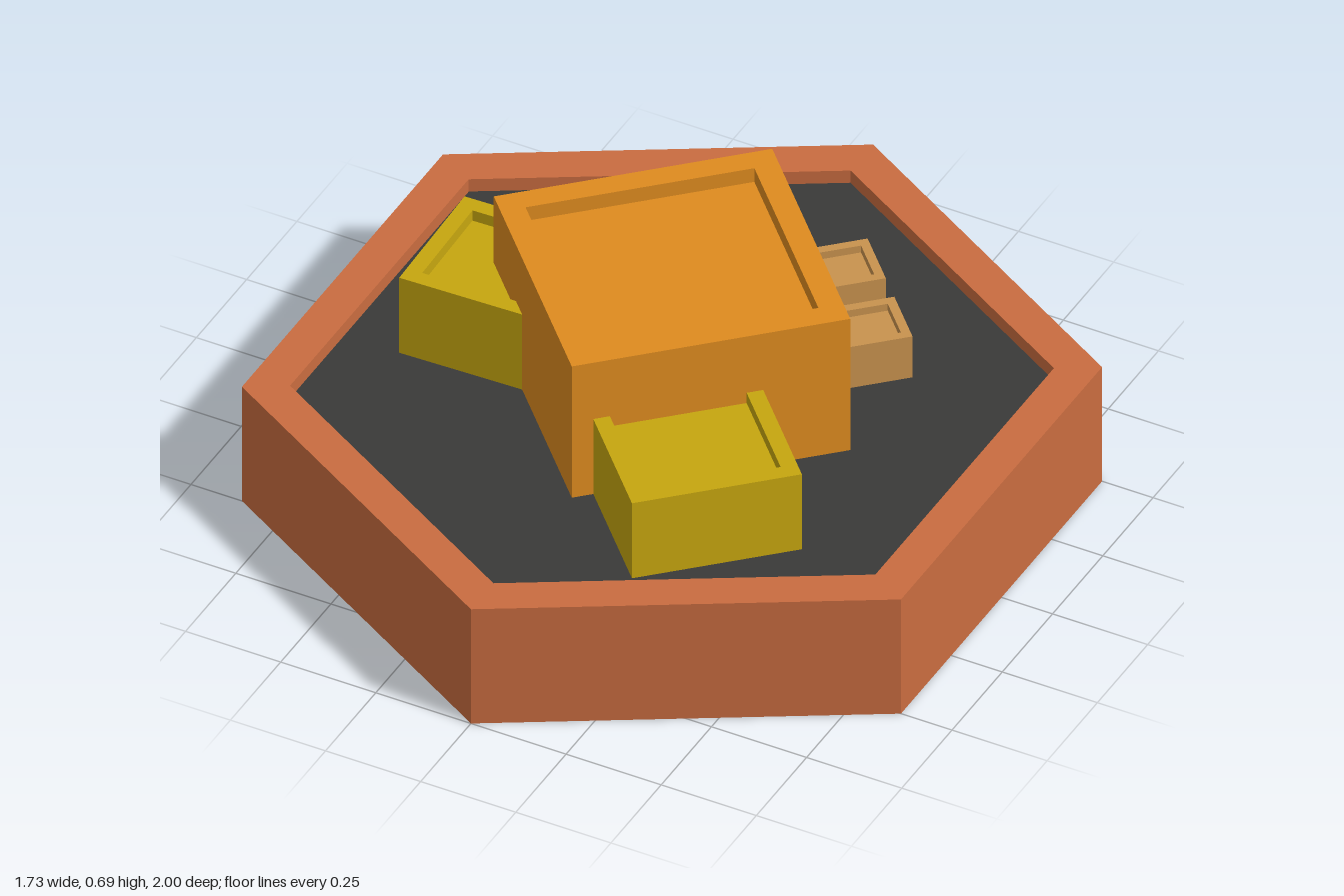
import * as THREE from 'three';

const FLOOR = 0.3;
const YAW = THREE.MathUtils.degToRad(43.5);

const material = (color) => new THREE.MeshStandardMaterial({ color, flatShading: true });
const clay = material(0xc96c40);
const slate = material(0x3a3a38);
const orange = material(0xde8b1f);
const yellow = material(0xc6a60f);
const tan = material(0xc8924e);

// Outlines run anticlockwise seen from above, as [x, z]
const rectangle = (w, d) => [[w, d], [w, -d], [-w, -d], [-w, d]].map(([x, z]) => [x / 2, z / 2]);
const hexagon = (r) => Array.from({ length: 6 }, (_, i) => {
  const a = (i * Math.PI) / 3;
  return [r * Math.sin(a), r * Math.cos(a)];
});

// Solid with a sunken top: outer wall, flat rim, inner wall and recessed floor
function tray(outer, inner, bottom, top, recess) {
  const n = outer.length;
  const rings = [[outer, bottom], [outer, top], [inner, top], [inner, recess]]
    .map(([outline, y]) => outline.map(([x, z]) => [x, y, z]));
  const p = [];
  for (let r = 0; r < 3; r++) {
    for (let i = 0; i < n; i++) {
      const j = (i + 1) % n;
      const a = rings[r][i], b = rings[r][j], c = rings[r + 1][j], d = rings[r + 1][i];
      p.push(...a, ...b, ...c, ...a, ...c, ...d);
    }
  }
  for (let i = 1; i < n - 1; i++) {
    p.push(...rings[3][0], ...rings[3][i], ...rings[3][i + 1]);
    p.push(...rings[0][0], ...rings[0][i + 1], ...rings[0][i]);
  }
  const geometry = new THREE.BufferGeometry();
  geometry.setAttribute('position', new THREE.Float32BufferAttribute(p, 3));
  geometry.computeVertexNormals();
  return geometry;
}

function add(parent, name, geometry, mat, x = 0, y = 0, z = 0) {
  const mesh = new THREE.Mesh(geometry, mat);
  mesh.name = name;
  mesh.position.set(x, y, z);
  parent.add(mesh);
  return mesh;
}

// Flat-roofed block with a parapet
const block = (w, d, top, rim, depth) =>
  tray(rectangle(w, d), rectangle(w - 2 * rim, d - 2 * rim), FLOOR, top, top - depth);

export function createModel() {
  const model = new THREE.Group();
  model.name = 'hexTileBuilding';

  // Hexagonal base with a sunken dark floor
  add(model, 'base', tray(hexagon(1), hexagon(0.888), 0, 0.335, FLOOR - 0.01), clay);
  const floor = new THREE.CylinderGeometry(0.887, 0.887, 0.01, 6);
  add(model, 'floor', floor, slate, 0, FLOOR - 0.005, 0);

  // Main hall and the parts lined up with its walls
  const hall = new THREE.Group();
  hall.name = 'hall';
  hall.rotation.y = YAW;
  model.add(hall);
  add(hall, 'mainBlock', block(0.672, 0.672, 0.685, 0.06, 0.04), orange);
  add(hall, 'frontAnnex', block(0.41, 0.41, 0.52, 0.04, 0.03), yellow, -0.079, 0, 0.464);

  // Two small sheds on one wall
  for (const z of [-0.2, 0.03]) {
    add(hall, 'shed', block(0.27, 0.157, 0.42, 0.022, 0.02), tan, 0.415, 0, z);
  }

  // Two hexagonal pilasters on the rear wall
  for (const x of [0.039, 0.174]) {
    const pilaster = new THREE.CylinderGeometry(0.05, 0.05, 0.32, 6);
    pilaster.rotateY(Math.PI / 6);
    add(hall, 'pilaster', pilaster, tan, x, FLOOR + 0.16, -0.342);
  }

  // Side annex, set at its own angle
  const side = add(model, 'sideAnnex', block(0.41, 0.345, 0.52, 0.04, 0.03), yellow, -0.425, 0, -0.004);
  side.rotation.y = 0.03;

  return model;
}
